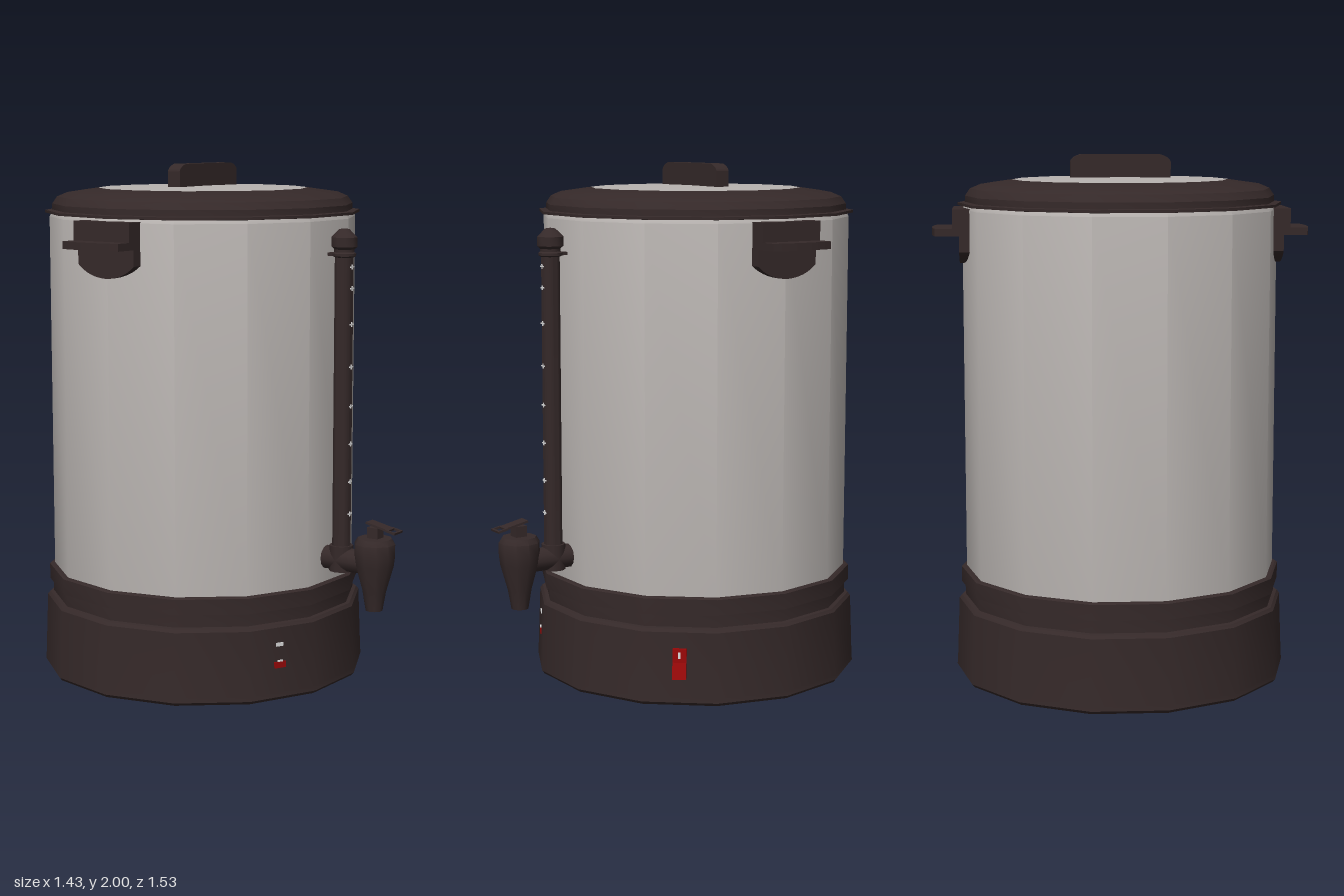
import * as THREE from 'three';
import { toCreasedNormals } from 'three/addons/utils/BufferGeometryUtils.js';

const SIDES = 14;
const AXIS_Z = -0.135;

function material(name, color) {
  const m = new THREE.MeshStandardMaterial({ color });
  m.name = name;
  return m;
}

export function createModel() {
  const plastic = material('dark brown plastic', 0x352929);
  const steel = material('brushed steel', 0xb8b3b0);
  const red = material('red switch', 0x960808);
  const white = material('white marking', 0xdcdcdc);

  const model = new THREE.Group();
  model.name = 'hotWaterUrn';
  const urn = new THREE.Group();
  urn.name = 'urn';
  urn.position.z = AXIS_Z;
  model.add(urn);

  function add(parent, name, geometry, mat, x = 0, y = 0, z = 0) {
    const mesh = new THREE.Mesh(geometry, mat);
    mesh.name = name;
    mesh.position.set(x, y, z);
    parent.add(mesh);
    return mesh;
  }
  // Turned part: smooth around, crisp between profile steps
  function turned(points, sides = SIDES, crease = 0.5) {
    const profile = points.map(([r, y]) => new THREE.Vector2(r, y));
    return toCreasedNormals(new THREE.LatheGeometry(profile, sides, Math.PI / sides), crease);
  }
  const box = (w, h, d) => new THREE.BoxGeometry(w, h, d);
  const extrude = (shape, depth) =>
    new THREE.ExtrudeGeometry(shape, { depth, bevelEnabled: false, curveSegments: 8 });

  // Base, tank and lid
  add(urn, 'base', turned([
    [0, 0], [0.632, 0], [0.642, 0.012], [0.64, 0.03], [0.63, 0.28], [0.62, 0.292],
    [0.606, 0.295], [0.606, 0.342], [0.62, 0.345], [0.62, 0.405], [0.612, 0.41], [0.59, 0.41],
  ]), plastic);
  add(urn, 'tank', turned([[0.6, 0.4], [0.6, 1.795], [0.592, 1.81], [0, 1.81]]), steel);
  add(urn, 'lidRim', turned([
    [0.59, 1.808], [0.617, 1.81], [0.617, 1.82], [0.59, 1.822], [0.589, 1.845],
    [0.57, 1.872], [0.53, 1.889], [0.41, 1.906], [0.38, 1.906],
  ]), plastic);
  add(urn, 'lidPlate', turned([[0.41, 1.906], [0.25, 1.912], [0, 1.914]]), steel);

  // Lid knob with clipped upper corners
  const knob = new THREE.Shape();
  knob.moveTo(-0.19, 1.9);
  knob.lineTo(0.19, 1.9);
  knob.lineTo(0.19, 1.972);
  knob.quadraticCurveTo(0.185, 1.99, 0.15, 2);
  knob.lineTo(-0.15, 2);
  knob.quadraticCurveTo(-0.185, 1.99, -0.19, 1.972);
  add(urn, 'lidKnob', extrude(knob, 0.056), plastic, 0, 0, -0.028);

  // Side handles: mounting plate, curved lower plate and shelf grip
  const lower = new THREE.Shape();
  lower.moveTo(-0.13, 1.72);
  lower.lineTo(-0.13, 1.64);
  lower.quadraticCurveTo(-0.08, 1.592, 0, 1.59);
  lower.quadraticCurveTo(0.08, 1.592, 0.13, 1.64);
  lower.lineTo(0.13, 1.72);
  const grip = new THREE.Shape();
  grip.moveTo(0.56, -0.13);
  grip.lineTo(0.7, -0.13);
  grip.quadraticCurveTo(0.73, 0, 0.7, 0.13);
  grip.lineTo(0.56, 0.13);
  for (const turn of [0, Math.PI]) {
    const handle = new THREE.Group();
    handle.name = turn ? 'rightHandle' : 'leftHandle';
    handle.rotation.y = turn;
    urn.add(handle);
    add(handle, 'upperPlate', box(0.07, 0.085, 0.26), plastic, 0.6, 1.7575, 0);
    add(handle, 'lowerPlate', extrude(lower, 0.045).rotateY(Math.PI / 2), plastic, 0.565, 0, 0);
    add(handle, 'grip', extrude(grip, 0.028).rotateX(Math.PI / 2), plastic, 0, 1.728, 0);
  }

  // Level gauge with cap, wall bracket and marks
  const gauge = new THREE.Group();
  gauge.name = 'levelGauge';
  gauge.position.z = 0.515;
  model.add(gauge);
  add(gauge, 'gaugeTube', turned([[0.036, 0.5], [0.036, 1.7]], 12, 0.6), plastic);
  add(gauge, 'gaugeCap', turned([
    [0.036, 1.66], [0.046, 1.665], [0.046, 1.675], [0.039, 1.68], [0.039, 1.69],
    [0.05, 1.7], [0.05, 1.735], [0.02, 1.765], [0, 1.768],
  ], 10, 0.7), plastic);
  add(gauge, 'gaugeBracket', box(0.03, 0.012, 0.1), plastic, 0, 1.67, -0.04);
  for (const y of [0.685, 0.81, 0.955, 1.1, 1.25, 1.41, 1.545, 1.625]) {
    add(gauge, 'gaugeMark', box(0.024, 0.005, 0.004), white, 0, y, 0.036);
    add(gauge, 'gaugeTick', box(0.005, 0.018, 0.004), white, 0, y, 0.036);
  }

  // Tap: feed pipe, elbow, tapered spout and lever
  const tap = new THREE.Group();
  tap.name = 'tap';
  model.add(tap);
  add(tap, 'feedPipe', new THREE.CylinderGeometry(0.046, 0.046, 0.21, 12).rotateX(Math.PI / 2),
    plastic, 0, 0.505, 0.535);
  add(tap, 'gaugeElbow', new THREE.CylinderGeometry(0.046, 0.046, 0.1, 12), plastic, 0, 0.51, 0.515);
  add(tap, 'spout', turned([
    [0, 0.325], [0.033, 0.325], [0.046, 0.4], [0.074, 0.5], [0.079, 0.54], [0.079, 0.585],
    [0.066, 0.606], [0, 0.608],
  ], 10, 0.7), plastic, 0, 0, 0.663);
  add(tap, 'leverStem', box(0.045, 0.045, 0.046), plastic, 0, 0.626, 0.664);
  const lever = new THREE.Group();
  lever.name = 'lever';
  lever.position.set(0, 0.652, 0.7);
  lever.rotation.x = 0.21;
  tap.add(lever);
  add(lever, 'leverPlate', box(0.05, 0.008, 0.1), plastic, 0, 0, -0.015);
  for (const s of [-1, 1]) add(lever, 'leverArm', box(0.008, 0.008, 0.04), plastic, s * 0.026, 0, 0.044);
  add(lever, 'leverEnd', box(0.062, 0.008, 0.008), plastic, 0, 0, 0.063);

  // Rocker switch: wedge that stands out at the bottom
  const flat = Math.cos(Math.PI / SIDES);
  const rocker = new THREE.Group();
  rocker.name = 'rockerSwitch';
  rocker.rotation.y = 4 * Math.PI / SIDES;
  urn.add(rocker);
  const wedge = new THREE.Shape();
  wedge.moveTo(0, 0.11);
  wedge.lineTo(0, 0.22);
  wedge.lineTo(-0.022, 0.22);
  wedge.lineTo(-0.026, 0.17);
  wedge.lineTo(-0.045, 0.11);
  const wedgeZ = 0.632 * flat - 0.004;
  add(rocker, 'rocker', extrude(wedge, 0.052).rotateY(Math.PI / 2), red, -0.026, 0, wedgeZ);
  add(rocker, 'rockerMark', box(0.008, 0.024, 0.004), white, 0, 0.198, wedgeZ + 0.025);

  // Indicator lamps on the front left-hand facet
  const lamps = new THREE.Group();
  lamps.name = 'indicatorLamps';
  lamps.rotation.y = -2 * Math.PI / SIDES;
  urn.add(lamps);
  add(lamps, 'redLamp', box(0.05, 0.024, 0.008), red, -0.01, 0.137, 0.636 * flat);
  add(lamps, 'lampMark', box(0.02, 0.006, 0.008), white, -0.01, 0.152, 0.6365 * flat);
  add(lamps, 'whiteLabel', box(0.03, 0.014, 0.008), white, -0.01, 0.215, 0.632 * flat);

  return model;
}
